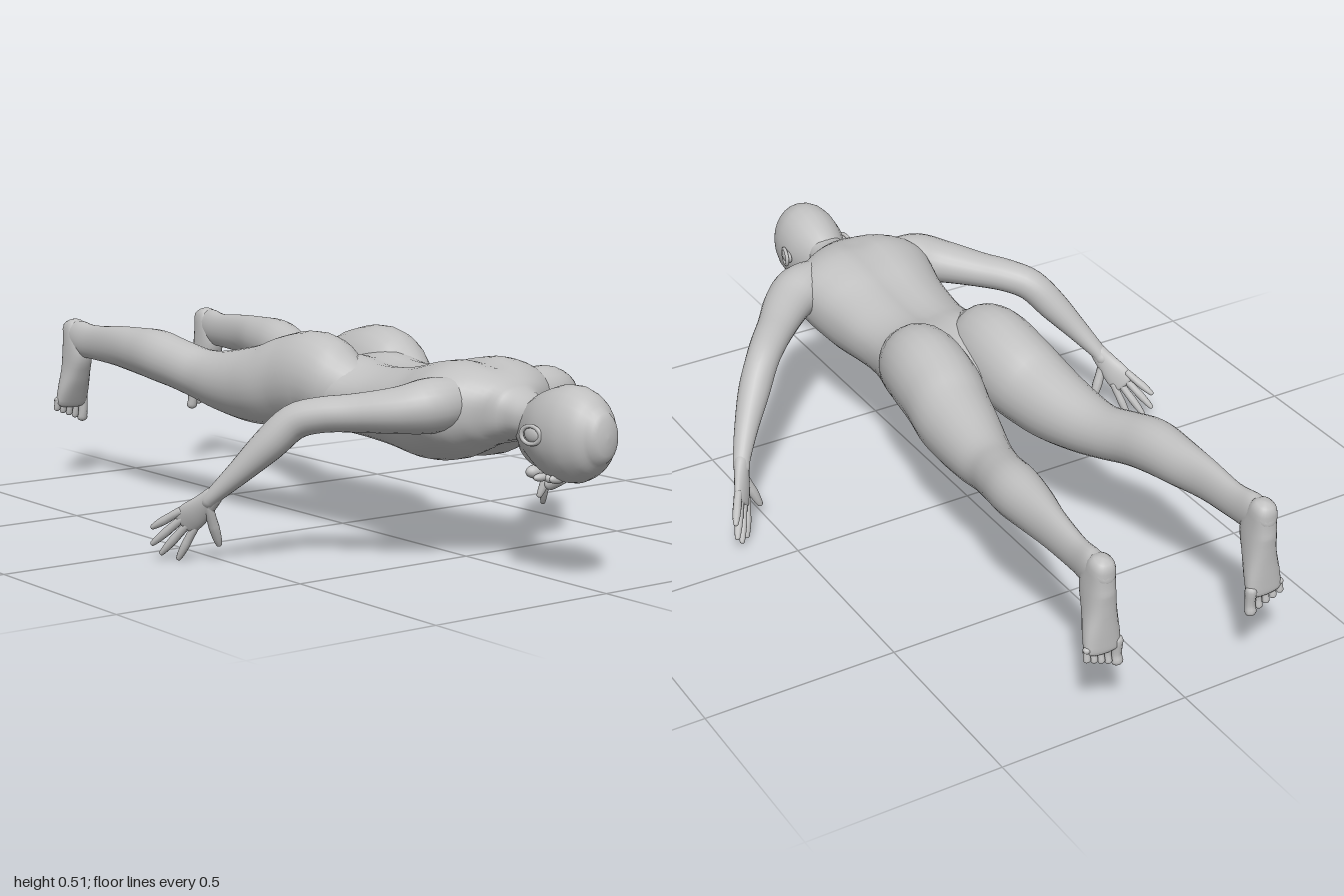
import * as THREE from 'three';

const skin = new THREE.MeshStandardMaterial({ color: 0xc0c0c0 });
skin.name = 'plain grey';

// Smooth closed skin through stations [x, y, z, halfWidth, halfDepth], with rounded ends.
function loft(name, stations, { ref = [0, 1, 0], sides = 24, steps = 4, side = 1, power = 2, cap = 0.8, deform } = {}) {
  const centres = new THREE.CatmullRomCurve3(stations.map(s => new THREE.Vector3(s[0] * side, s[1], s[2])), false, 'catmullrom', 0.5);
  const sizes = new THREE.CatmullRomCurve3(stations.map(s => new THREE.Vector3(s[3], s[4], 0)), false, 'catmullrom', 0.5);
  const up = new THREE.Vector3(ref[0] * side, ref[1], ref[2]);
  const rings = [];
  const n = (stations.length - 1) * steps;
  const addRing = (t, shift, scale) => {
    const size = sizes.getPoint(t);
    const dir = centres.getTangent(t);
    const c = centres.getPoint(t).addScaledVector(dir, shift * Math.min(size.x, size.y) * cap);
    const u = new THREE.Vector3().crossVectors(up, dir).normalize();
    const v = new THREE.Vector3().crossVectors(dir, u);
    rings.push({ c, u, v, a: size.x * scale, b: size.y * scale });
  };
  const round = [0.03, 0.35, 0.7, 1.05].map(k => [Math.cos(k), Math.sin(k)]);
  round.forEach(([s, r]) => addRing(0, -s, r));
  for (let i = 0; i <= n; i++) addRing(i / n, 0, 1);
  round.reverse().forEach(([s, r]) => addRing(1, s, r));

  const pos = [], index = [];
  const bend = q => Math.sign(q) * Math.abs(q) ** (2 / power);
  for (const r of rings) {
    for (let j = 0; j < sides; j++) {
      const w = j / sides * Math.PI * 2;
      const p = r.c.clone().addScaledVector(r.u, r.a * bend(Math.cos(w))).addScaledVector(r.v, r.b * bend(Math.sin(w)));
      if (deform) deform(p, r.c);
      pos.push(p.x, p.y, p.z);
    }
  }
  for (let i = 0; i < rings.length - 1; i++) {
    for (let j = 0; j < sides; j++) {
      const a = i * sides + j, b = i * sides + (j + 1) % sides;
      index.push(a, b, b + sides, a, b + sides, a + sides);
    }
  }
  // end fans
  const first = rings[0].c, last = rings[rings.length - 1].c, base = (rings.length - 1) * sides;
  const k = pos.length / 3;
  pos.push(first.x, first.y, first.z, last.x, last.y, last.z);
  for (let j = 0; j < sides; j++) {
    const m = (j + 1) % sides;
    index.push(k, m, j, k + 1, base + j, base + m);
  }
  const g = new THREE.BufferGeometry();
  g.setAttribute('position', new THREE.Float32BufferAttribute(pos, 3));
  g.setIndex(index);
  g.computeVertexNormals();
  const mesh = new THREE.Mesh(g, skin);
  mesh.name = name;
  return mesh;
}

// Station for a body slice from z, half width, top and bottom heights.
const slice = ([z, w, top, bottom]) => [0, (top + bottom) / 2, z, w, (top - bottom) / 2];

function blob(name, x, y, z, rx, ry, rz) {
  const mesh = new THREE.Mesh(new THREE.SphereGeometry(1, 16, 12), skin);
  mesh.position.set(x, y, z);
  mesh.scale.set(rx, ry, rz);
  mesh.name = name;
  return mesh;
}

function makeHead() {
  const head = new THREE.Group();
  head.name = 'head';
  head.add(loft('skull', [
    [0.975, 0.047, 0.43, 0.3], [0.95, 0.07, 0.455, 0.273], [0.91, 0.085, 0.473, 0.252], [0.87, 0.088, 0.474, 0.246],
    [0.83, 0.084, 0.46, 0.246], [0.79, 0.07, 0.437, 0.243], [0.762, 0.054, 0.405, 0.243], [0.745, 0.036, 0.36, 0.25],
  ].map(slice), { cap: 0.5 }));
  // nose, lips, chin and closed eyes on the downward face
  head.add(loft('nose', [[0, 0.248, 0.85, 0.008, 0.008], [0, 0.238, 0.82, 0.011, 0.013], [0, 0.232, 0.803, 0.016, 0.014]], { sides: 12 }));
  head.add(blob('lips', 0, 0.244, 0.772, 0.024, 0.01, 0.011));
  head.add(blob('chin', 0, 0.254, 0.747, 0.024, 0.016, 0.016));
  for (const s of [1, -1]) {
    head.add(blob('eye', s * 0.032, 0.256, 0.842, 0.017, 0.012, 0.011));
    head.add(blob('brow', s * 0.032, 0.258, 0.865, 0.026, 0.012, 0.01));
    head.add(blob('ear', s * 0.088, 0.362, 0.838, 0.009, 0.018, 0.026));
    const rim = new THREE.Mesh(new THREE.TorusGeometry(0.021, 0.005, 8, 20), skin);
    rim.name = 'earRim';
    rim.rotation.y = Math.PI / 2 - s * 0.25;
    rim.scale.set(1.25, 1, 1);
    rim.position.set(s * 0.093, 0.362, 0.838);
    head.add(rim);
  }
  return head;
}

function makeArm(s) {
  const arm = new THREE.Group();
  arm.name = s > 0 ? 'leftArm' : 'rightArm';
  arm.add(loft('armLimb', [
    [0.11, 0.41, 0.59, 0.055, 0.06], [0.18, 0.405, 0.575, 0.07, 0.066], [0.24, 0.395, 0.535, 0.064, 0.056], [0.31, 0.386, 0.46, 0.052, 0.046],
    [0.365, 0.379, 0.4, 0.047, 0.043], [0.41, 0.36, 0.352, 0.043, 0.043], [0.455, 0.305, 0.312, 0.041, 0.041],
    [0.505, 0.237, 0.262, 0.031, 0.03], [0.543, 0.182, 0.217, 0.023, 0.021], [0.553, 0.162, 0.2, 0.021, 0.019],
  ], { side: s }));
  // palm, fingers and thumb
  const ref = [0.7, -0.23, 0.65];
  arm.add(loft('palm', [
    [0.545, 0.178, 0.213, 0.023, 0.019], [0.558, 0.152, 0.19, 0.029, 0.017],
    [0.572, 0.125, 0.162, 0.036, 0.015], [0.583, 0.104, 0.14, 0.035, 0.011],
  ], { side: s, ref }));
  const fingers = [
    ['indexFinger', [0.565, 0.085, 0.152], [0.586, 0.011, 0.117]],
    ['middleFinger', [0.58, 0.095, 0.142], [0.615, 0.022, 0.085]],
    ['ringFinger', [0.592, 0.11, 0.135], [0.633, 0.046, 0.073]],
    ['littleFinger', [0.599, 0.128, 0.132], [0.634, 0.088, 0.076]],
    ['thumb', [0.548, 0.135, 0.198], [0.512, 0.048, 0.185]],
  ];
  for (const [name, a, b] of fingers) {
    const r = name === 'thumb' ? 0.013 : 0.0105;
    const at = (t, k) => [...a.map((q, i) => q + (b[i] - q) * t), r * k, r * k];
    arm.add(loft(name, [at(-0.15, 1), at(0.3, 1), at(0.5, 1.05), at(0.8, 0.85), at(0.97, 0.62)], { side: s, ref, sides: 10, steps: 2 }));
  }
  return arm;
}

function makeLeg(s) {
  const leg = new THREE.Group();
  leg.name = s > 0 ? 'leftLeg' : 'rightLeg';
  // buttock, thigh, calf and heel
  leg.add(loft('legLimb', [
    [0.085, 0.37, 0.2, 0.05, 0.065], [0.098, 0.382, 0.12, 0.088, 0.1], [0.103, 0.4, 0.04, 0.102, 0.12],
    [0.109, 0.386, -0.06, 0.104, 0.117], [0.123, 0.367, -0.14, 0.1, 0.107], [0.134, 0.358, -0.22, 0.091, 0.097],
    [0.15, 0.357, -0.32, 0.076, 0.08], [0.163, 0.366, -0.4, 0.064, 0.069], [0.182, 0.385, -0.48, 0.062, 0.067],
    [0.196, 0.401, -0.56, 0.063, 0.069], [0.203, 0.406, -0.65, 0.053, 0.063], [0.212, 0.409, -0.75, 0.037, 0.055],
    [0.217, 0.407, -0.86, 0.028, 0.048], [0.222, 0.413, -0.93, 0.03, 0.05], [0.222, 0.43, -0.975, 0.028, 0.035],
  ], { side: s, cap: 0.6 }));
  // foot pointing down, sole facing back
  leg.add(loft('foot', [
    [0.222, 0.44, -0.962, 0.03, 0.033], [0.222, 0.38, -0.948, 0.034, 0.05], [0.222, 0.32, -0.957, 0.038, 0.04],
    [0.224, 0.265, -0.97, 0.046, 0.027], [0.225, 0.225, -0.98, 0.048, 0.017],
  ], { side: s, ref: [0, 0, 1], power: 2.4 }));
  for (let i = 0; i < 5; i++) {
    const x = 0.187 + i * 0.0195 + (i ? 0.004 : 0), tip = 0.178 + i * 0.008, r = i ? 0.0095 : 0.015;
    leg.add(loft('toe', [
      [x, 0.235, -0.982, r, r], [x, tip + 0.02, -0.981, r * 0.85, r * 0.85], [x, tip, -0.985, r, r * 0.9],
    ], { side: s, ref: [0, 0, 1], sides: 10, steps: 3 }));
  }
  return leg;
}

export function createModel() {
  const figure = new THREE.Group();
  figure.name = 'lyingFigure';
  // torso with a shallow groove along the spine and breastbone
  figure.add(loft('torso', [
    [0.8, 0.05, 0.43, 0.33], [0.74, 0.058, 0.43, 0.33], [0.69, 0.07, 0.447, 0.32], [0.655, 0.125, 0.472, 0.305],
    [0.61, 0.178, 0.496, 0.285], [0.56, 0.197, 0.506, 0.265], [0.5, 0.188, 0.498, 0.248], [0.43, 0.174, 0.482, 0.24],
    [0.35, 0.164, 0.466, 0.25], [0.27, 0.157, 0.458, 0.257], [0.2, 0.163, 0.46, 0.262], [0.12, 0.182, 0.472, 0.266],
    [0.04, 0.19, 0.46, 0.27], [-0.02, 0.15, 0.44, 0.285], [-0.05, 0.08, 0.42, 0.3],
  ].map(slice), {
    sides: 40, power: 2.25, cap: 0.3,
    deform: (p, c) => {
      const fade = THREE.MathUtils.smoothstep(0.68 - p.z, 0, 0.1);
      p.y -= Math.sign(p.y - c.y) * Math.min(1, Math.abs(p.y - c.y) / 0.05) * 0.014 * fade * Math.exp(-((p.x / 0.035) ** 2));
    },
  }));
  figure.add(makeHead());
  for (const s of [1, -1]) figure.add(makeArm(s), makeLeg(s));
  return figure;
}
